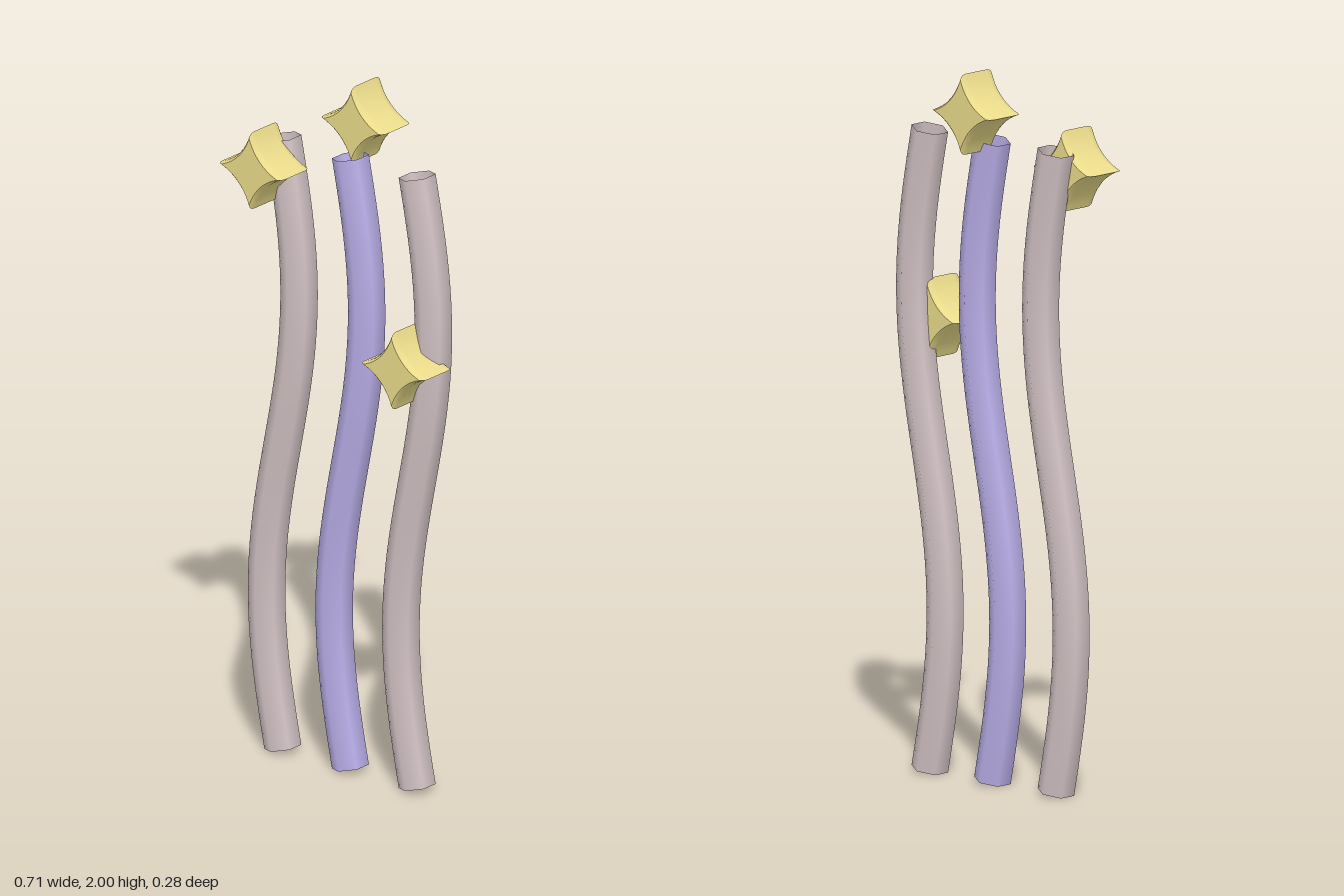
import * as THREE from 'three';
import { toCreasedNormals } from 'three/addons/utils/BufferGeometryUtils.js';

const material = (color, side = THREE.FrontSide) => new THREE.MeshStandardMaterial({ color, side });

// Open six-sided tube following one full S-wave
function wavyTube() {
  const points = [];
  for (let i = 0; i <= 16; i++) {
    const t = i / 16;
    points.push(new THREE.Vector3(-0.0575 * Math.sin(t * Math.PI * 2), 0.01 + 1.79 * t, -0.011));
  }
  return new THREE.TubeGeometry(new THREE.CatmullRomCurve3(points), 40, 0.052, 6, false);
}

// Thick four-pointed star with concave sides and rounded rims
function starGeometry() {
  const R = 0.113, C = 0.03, STEPS = 10;
  const outline = [];
  for (let k = 0; k < 4; k++) {
    const a = k * Math.PI / 2, c = Math.cos(a), s = Math.sin(a);
    const arc = new THREE.QuadraticBezierCurve(
      new THREE.Vector2(R * c, R * s),
      new THREE.Vector2(C * (c - s), C * (s + c)),
      new THREE.Vector2(-R * s, R * c));
    outline.push(...arc.getPoints(STEPS).slice(0, STEPS));
  }
  // Scale and depth of each cross-section, back to front
  const rim = [[0, 0.0635], [0.87, 0.0635], [0.94, 0.0595], [0.985, 0.052], [1, 0.041]];
  const layers = [...rim.map(([s, z]) => [s, -z]), ...rim.slice().reverse()];
  const n = outline.length, positions = [], index = [];
  for (const [s, z] of layers) for (const p of outline) positions.push(p.x * s, p.y * s, z);
  for (let j = 0; j < layers.length - 1; j++) {
    for (let i = 0; i < n; i++) {
      const a = j * n + i, b = j * n + (i + 1) % n;
      if (j < layers.length - 2) index.push(a, b, b + n, a, b + n, a + n);
      else index.push(a, b, a + n);
      if (j === 0) index.splice(-6, 3); // the back centre is a single point
    }
  }
  const geometry = new THREE.BufferGeometry();
  geometry.setAttribute('position', new THREE.Float32BufferAttribute(positions, 3));
  geometry.setIndex(index);
  return toCreasedNormals(geometry, 0.75);
}

export function createModel() {
  const group = new THREE.Group();
  const add = (name, geometry, mat, x, y, z) => {
    const mesh = new THREE.Mesh(geometry, mat);
    mesh.name = name;
    mesh.position.set(x, y, z);
    group.add(mesh);
  };

  // Three wavy stems
  const tube = wavyTube();
  const pale = material(0xd2c2c4, THREE.DoubleSide);
  const violet = material(0xb9aee8, THREE.DoubleSide);
  add('rightTube', tube, pale, -0.246, 0, 0);
  add('middleTube', tube, violet, -0.007, 0, 0);
  add('leftTube', tube, pale, 0.229, 0, 0);

  // Stars attached in front of and behind the stems
  const star = starGeometry();
  const gold = material(0xeadb8a);
  add('rightStar', star, gold, -0.245, 1.74, 0.0735);
  add('middleStar', star, gold, -0.007, 1.887, -0.0765);
  add('leftStar', star, gold, 0.243, 1.265, 0.055);
  return group;
}
